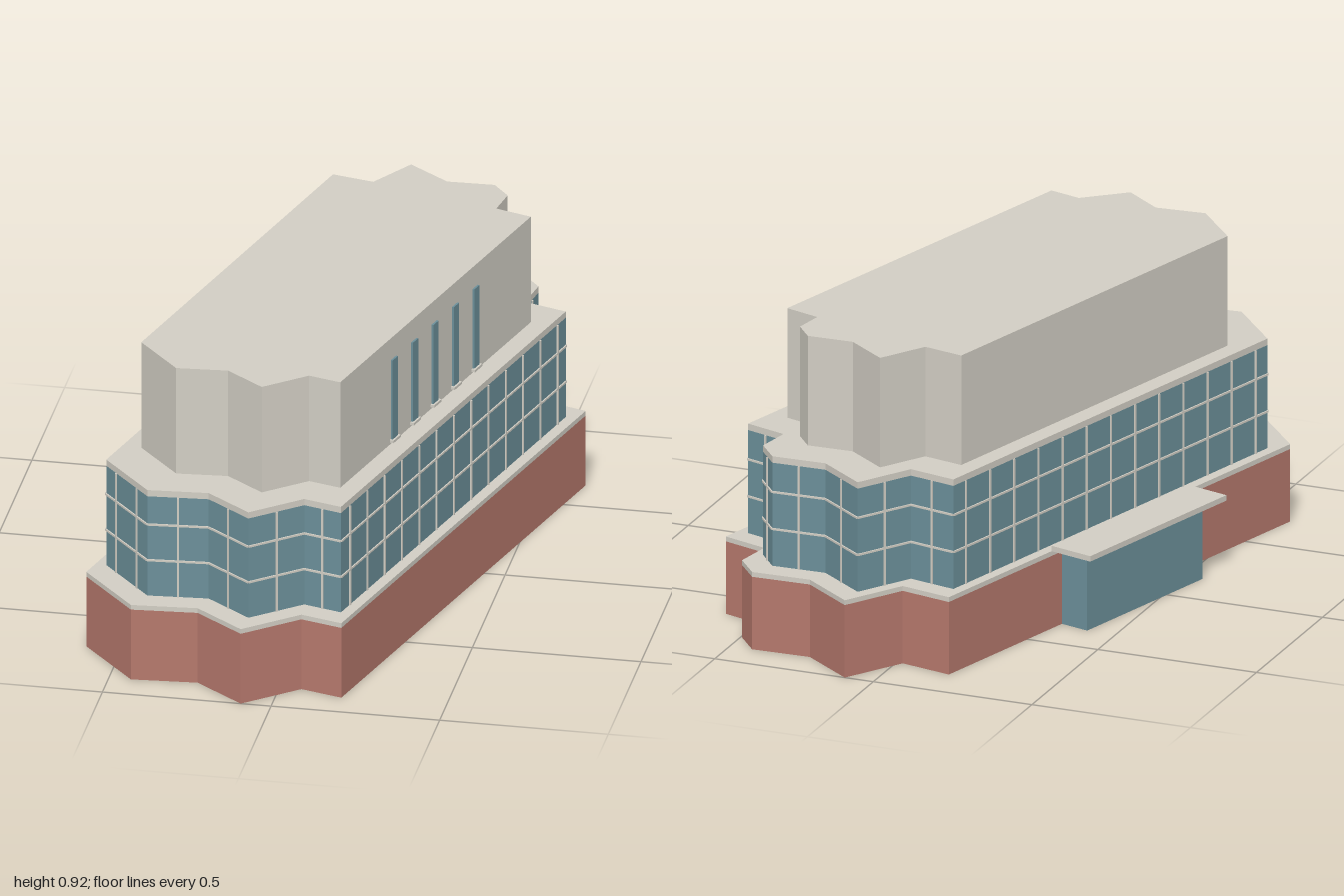
import * as THREE from 'three';

// Ground-floor outline as [x, z], clockwise seen from above
const OUTLINE = [
  [0.09, -1.0], [0.25, -0.88], [0.43, -0.885], [0.495, -0.805], [0.475, -0.685],
  [0.615, -0.64], [0.19, 0.905], [0.065, 0.87], [-0.09, 1.0], [-0.24, 0.885],
  [-0.435, 0.9], [-0.605, 0.705], [-0.18, -0.86], [-0.02, -0.825],
];
const RIGHT_WALL = 5, LEFT_WALL = 11; // indices of the two long walls

export function createModel() {
  const model = new THREE.Group();
  const brick = new THREE.MeshStandardMaterial({ color: 0xb5786c });
  const glass = new THREE.MeshStandardMaterial({ color: 0x6b8f99 });
  const stone = new THREE.MeshStandardMaterial({ color: 0xd2cec4 });

  const scaled = (s) => OUTLINE.map(([x, z]) => [x * s, z * s]);

  // Solid storey: the outline extruded from y0 to y1
  function storey(name, scale, y0, y1, material) {
    const shape = new THREE.Shape(scaled(scale).map(([x, z]) => new THREE.Vector2(x, -z)));
    const geo = new THREE.ExtrudeGeometry(shape, { depth: y1 - y0, bevelEnabled: false });
    geo.rotateX(-Math.PI / 2);
    const mesh = new THREE.Mesh(geo, material);
    mesh.name = name;
    mesh.position.y = y0;
    model.add(mesh);
  }

  const wall = (scale, i) => {
    const pts = scaled(scale);
    const a = pts[i], b = pts[(i + 1) % pts.length];
    return { a, b, length: Math.hypot(b[0] - a[0], b[1] - a[1]) };
  };

  // Box lying along a wall: centred at fraction t, reaching from 'inner' to 'outer' off its face
  function wallBox(parent, name, { a, b, length }, t, width, y0, y1, inner, outer, material) {
    const dx = (b[0] - a[0]) / length, dz = (b[1] - a[1]) / length;
    const off = (inner + outer) / 2;
    const mesh = new THREE.Mesh(new THREE.BoxGeometry(width, y1 - y0, outer - inner), material);
    mesh.name = name;
    mesh.position.set(
      a[0] + dx * length * t + dz * off, (y0 + y1) / 2, a[1] + dz * length * t - dx * off);
    mesh.rotation.y = Math.atan2(-dz, dx);
    parent.add(mesh);
  }

  // Stacked storeys with their stone ledges
  storey('brickBase', 1, 0, 0.225, brick);
  storey('baseLedge', 1, 0.225, 0.24, stone);
  storey('glassStorey', 0.92, 0.24, 0.56, glass);
  storey('glassStoreyRoof', 0.92, 0.56, 0.58, stone);
  storey('upperBlock', 0.78, 0.58, 0.92, stone);

  // Mullions and transoms on every wall of the glass storey
  const bars = new THREE.Group();
  bars.name = 'windowBars';
  model.add(bars);
  OUTLINE.forEach((_, i) => {
    const w = wall(0.92, i);
    for (const y of [0.355, 0.47]) {
      wallBox(bars, 'transom', w, 0.5, w.length, y - 0.003, y + 0.003, -0.004, 0.004, stone);
    }
    const count = Math.max(1, Math.floor(w.length / 0.11));
    for (let k = 0; k < count; k++) {
      wallBox(bars, 'mullion', w, (k + 0.5) / count, 0.006, 0.24, 0.56, -0.004, 0.004, stone);
    }
  });

  // Five narrow windows with sills on the right wall of the upper block
  const slits = new THREE.Group();
  slits.name = 'upperWindows';
  model.add(slits);
  const upper = wall(0.78, RIGHT_WALL);
  for (let k = -2; k <= 2; k++) {
    const t = 0.507 + k * 0.107;
    wallBox(slits, 'narrowWindow', upper, t, 0.034, 0.595, 0.85, -0.006, 0.006, glass);
    wallBox(slits, 'windowSill', upper, t, 0.048, 0.587, 0.595, -0.006, 0.012, stone);
  }

  // Glazed entrance under a flat canopy on the left wall
  const entrance = new THREE.Group();
  entrance.name = 'entrance';
  model.add(entrance);
  const side = wall(1, LEFT_WALL);
  const pane = 0.547 / 3;
  for (let k = -1; k <= 1; k++) {
    wallBox(entrance, 'entranceGlass', side, 0.5 + (k * pane) / side.length, pane,
      0, 0.24, -0.01, 0.093, glass);
  }
  wallBox(entrance, 'canopy', side, 0.5, 0.647, 0.24, 0.257, 0, 0.143, stone);

  return model;
}
